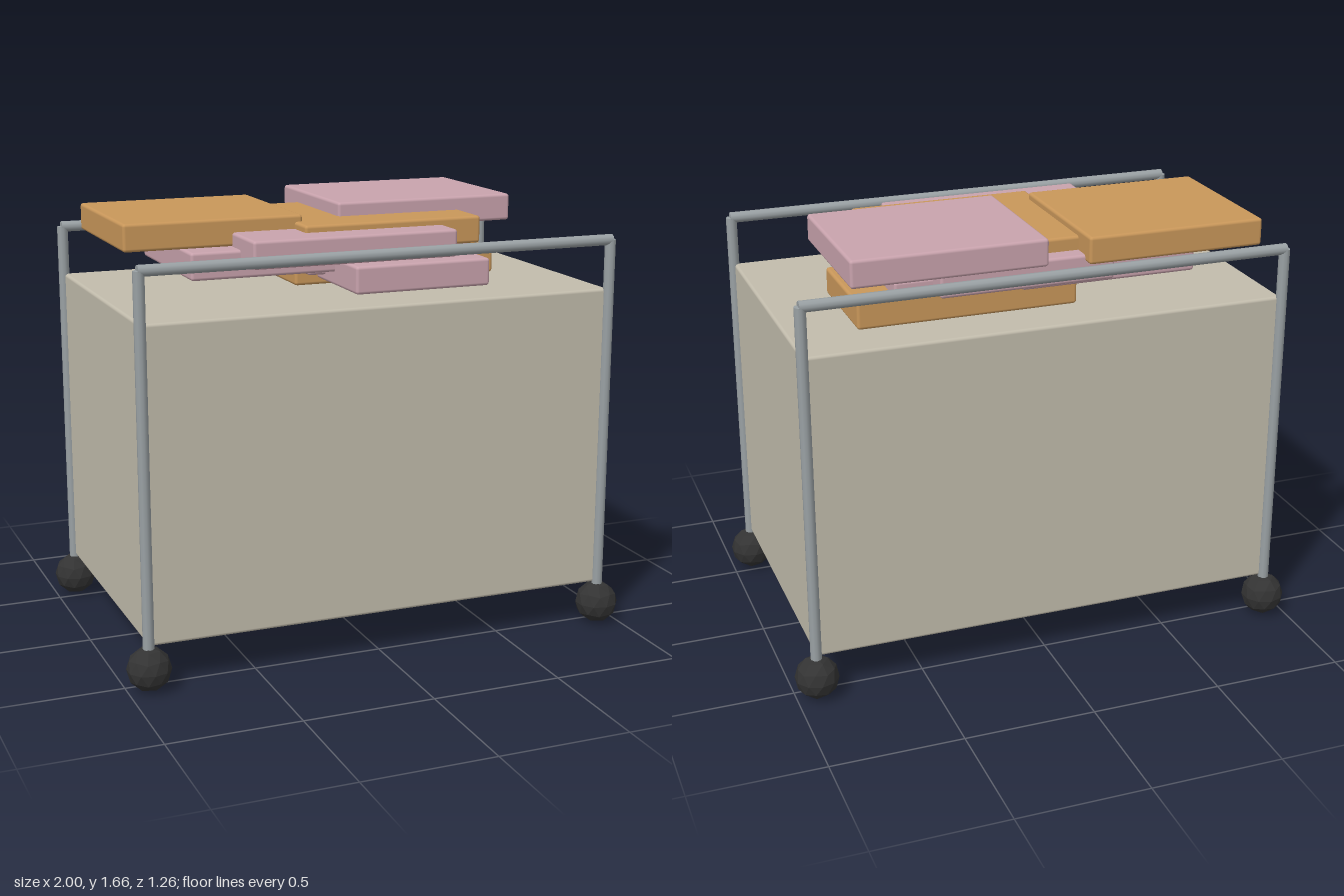
import * as THREE from 'three';
import { RoundedBoxGeometry } from 'three/addons/geometries/RoundedBoxGeometry.js';

const mat = (name, color, extra = {}) => {
  const m = new THREE.MeshStandardMaterial({ color, ...extra });
  m.name = name;
  return m;
};

export function createModel() {
  const group = new THREE.Group();
  const beige = mat('beige panel', 0xc2bcac);
  const metal = mat('grey metal', 0x9aa1a4);
  const rubber = mat('black rubber', 0x333333, { flatShading: true });
  const orange = mat('orange cloth', 0xc9975a);
  const pink = mat('pink cloth', 0xc9a3ad);

  const add = (name, geometry, material, x, y, z) => {
    const mesh = new THREE.Mesh(geometry, material);
    mesh.name = name;
    mesh.position.set(x, y, z);
    group.add(mesh);
    return mesh;
  };

  // Softly bevelled box given by its limits on each axis
  const slab = (name, material, [x0, x1], [y0, y1], [z0, z1], r) =>
    add(name, new RoundedBoxGeometry(x1 - x0, y1 - y0, z1 - z0, 2, r), material,
      (x0 + x1) / 2, (y0 + y1) / 2, (z0 + z1) / 2);

  const X = 0.92, Z = 0.547, R = 0.083, railY = 1.53;

  // Bin body
  slab('binBody', beige, [-X, X], [0.165, 1.343], [-Z, Z], 0.012);

  // Wheels: faceted balls with a corner pointing straight up
  const wheel = new THREE.IcosahedronGeometry(R, 1);
  wheel.rotateZ(Math.atan(2 / (1 + Math.sqrt(5))));

  // Posts and long rails
  const post = new THREE.CylinderGeometry(0.021, 0.021, railY - 0.12, 10);
  const rail = new THREE.CylinderGeometry(0.021, 0.021, 2 * X + 0.01, 10);
  rail.rotateZ(Math.PI / 2);
  for (const sz of [-1, 1]) {
    for (const sx of [-1, 1]) {
      add('wheel', wheel, rubber, sx * X, R, sz * Z);
      add('post', post, metal, sx * X, (railY + 0.12) / 2, sz * Z);
    }
    add('rail', rail, metal, 0, railY, sz * Z);
  }

  // Pile of folded cloths, bottom to top: material, x limits, z limits
  const cloths = [
    [orange, [-0.17, 0.67], [-0.36, 0.07]],
    [pink, [-0.08, 0.46], [-0.10, 0.46]],
    [pink, [-0.15, 0.525], [-0.34, 0.155]],
    [pink, [-0.64, 0.05], [-0.37, 0.25]],
    [pink, [-0.29, 0.38], [-0.427, 0.12]],
    [pink, [-0.45, 0.357], [-0.15, 0.393]],
    [orange, [-0.205, 0.512], [-0.36, 0.27]],
    [orange, [-0.865, -0.172], [-0.47, 0.157]],
    [pink, [0, 0.73], [-0.508, 0.087]],
  ];
  cloths.forEach(([material, xs, zs], i) => {
    const y = 1.345 + i * 0.026;
    slab('foldedCloth', material, xs, [y, y + 0.104], zs, 0.012);
  });

  return group;
}
